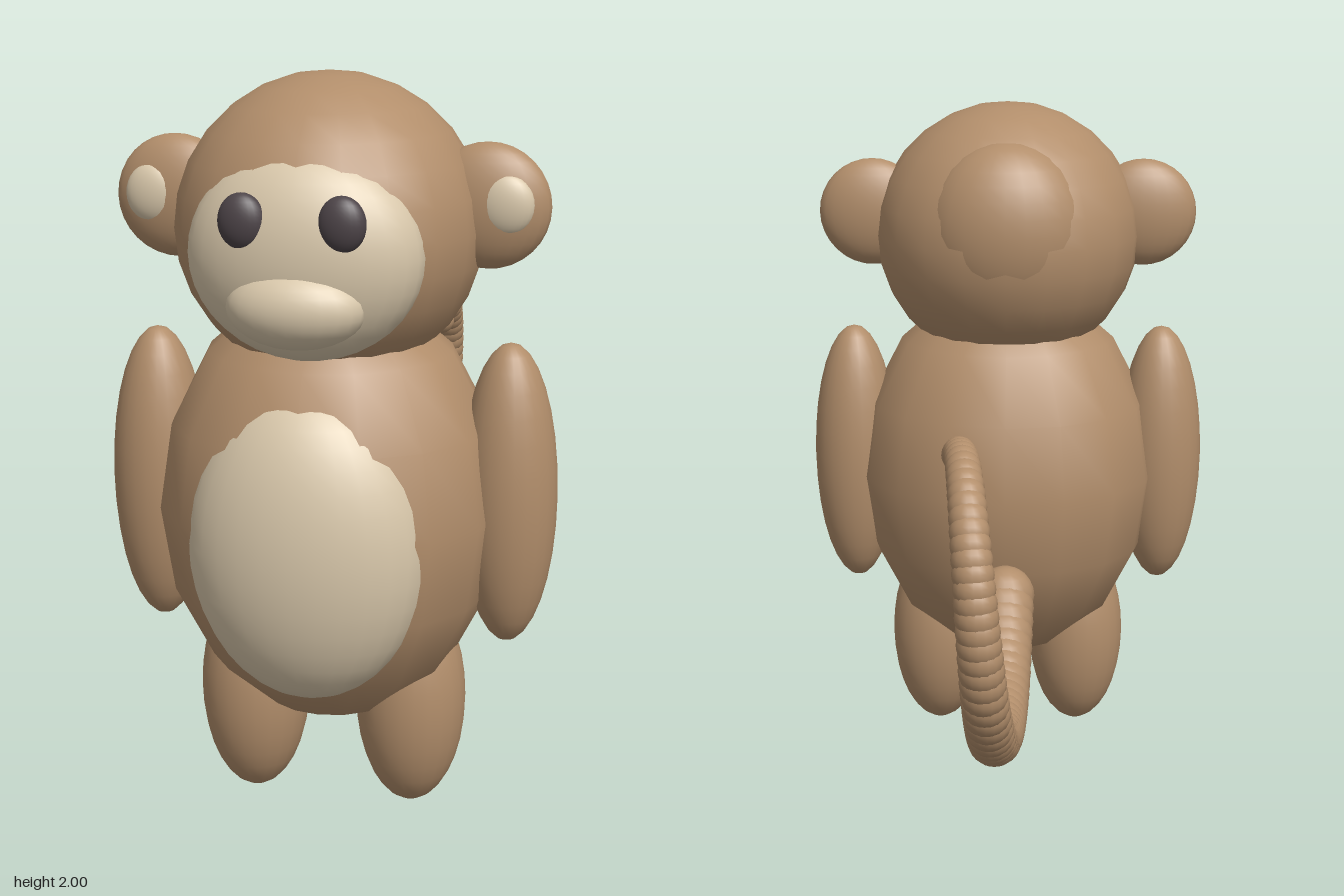
import * as THREE from 'three';

export function createModel() {
  const group = new THREE.Group();
  const material = (name, color) => {
    const m = new THREE.MeshStandardMaterial({ color });
    m.name = name;
    return m;
  };
  const fur = material('brown fur', 0xb28e6b);
  const cream = material('cream skin', 0xd9c8ab);
  const dark = material('dark eyes', 0x4d4448);

  // Every part is an ellipsoid: centre, radii, material and mesh density
  function ellipsoid(name, [x, y, z], [rx, ry, rz], mat, w = 24, h = 16) {
    const mesh = new THREE.Mesh(new THREE.SphereGeometry(1, w, h), mat);
    mesh.name = name;
    mesh.position.set(x, y, z);
    mesh.scale.set(rx, ry, rz);
    group.add(mesh);
    return mesh;
  }

  // Torso and belly patch
  ellipsoid('body', [0, 0.85, 0.5], [0.465, 0.6, 0.435], fur, 16, 8);
  ellipsoid('belly', [0, 0.81, 0.765], [0.315, 0.415, 0.2], cream, 28, 20);

  // Head, back of skull, face and muzzle
  ellipsoid('head', [0, 1.6, 0.5], [0.405, 0.4, 0.405], fur, 20, 14);
  ellipsoid('skullBack', [0, 1.645, 0.255], [0.24, 0.26, 0.168], fur);
  ellipsoid('face', [0, 1.57, 0.76], [0.302, 0.27, 0.168], cream, 28, 20);
  ellipsoid('muzzle', [0, 1.455, 0.86], [0.177, 0.105, 0.108], cream);

  // Mirrored parts
  for (const [side, s] of [['left', 1], ['right', -1]]) {
    ellipsoid(side + 'Eye', [s * 0.125, 1.67, 0.895], [0.06, 0.07, 0.037], dark);
    ellipsoid(side + 'Ear', [s * 0.415, 1.665, 0.5], [0.163, 0.163, 0.075], fur);
    ellipsoid(side + 'InnerEar', [s * 0.465, 1.675, 0.545], [0.075, 0.08, 0.036], cream);
    ellipsoid(side + 'Arm', [s * 0.48, 0.9, 0.5], [0.13, 0.41, 0.13], fur);
    ellipsoid(side + 'Leg', [s * 0.22, 0.305, 0.5], [0.15, 0.305, 0.15], fur);
  }

  // Tail: a chain of shrinking balls along a curl, drifting to the left
  const curl = new THREE.CatmullRomCurve3([
    [0.06, 0.575], [-0.08, 0.455], [-0.23, 0.375], [-0.4, 0.35], [-0.58, 0.385],
    [-0.74, 0.48], [-0.855, 0.63], [-0.897, 0.82], [-0.865, 1.0], [-0.78, 1.115],
    [-0.67, 1.175], [-0.57, 1.185], [-0.49, 1.17], [-0.445, 1.15],
  ].map(([z, y]) => new THREE.Vector3(0, y, z)));
  const count = 52;
  for (let i = 0; i < count; i++) {
    const t = i / (count - 1);
    const d = 1.18 * t - 0.18 * t * t; // balls crowd together towards the tip
    const p = curl.getPointAt(Math.min(d, 1));
    const r = 0.088 - 0.046 * d;
    ellipsoid('tailSegment' + (i + 1), [0.12 * d * d, p.y, p.z], [r, r, r], fur, 16, 12);
  }
  return group;
}
